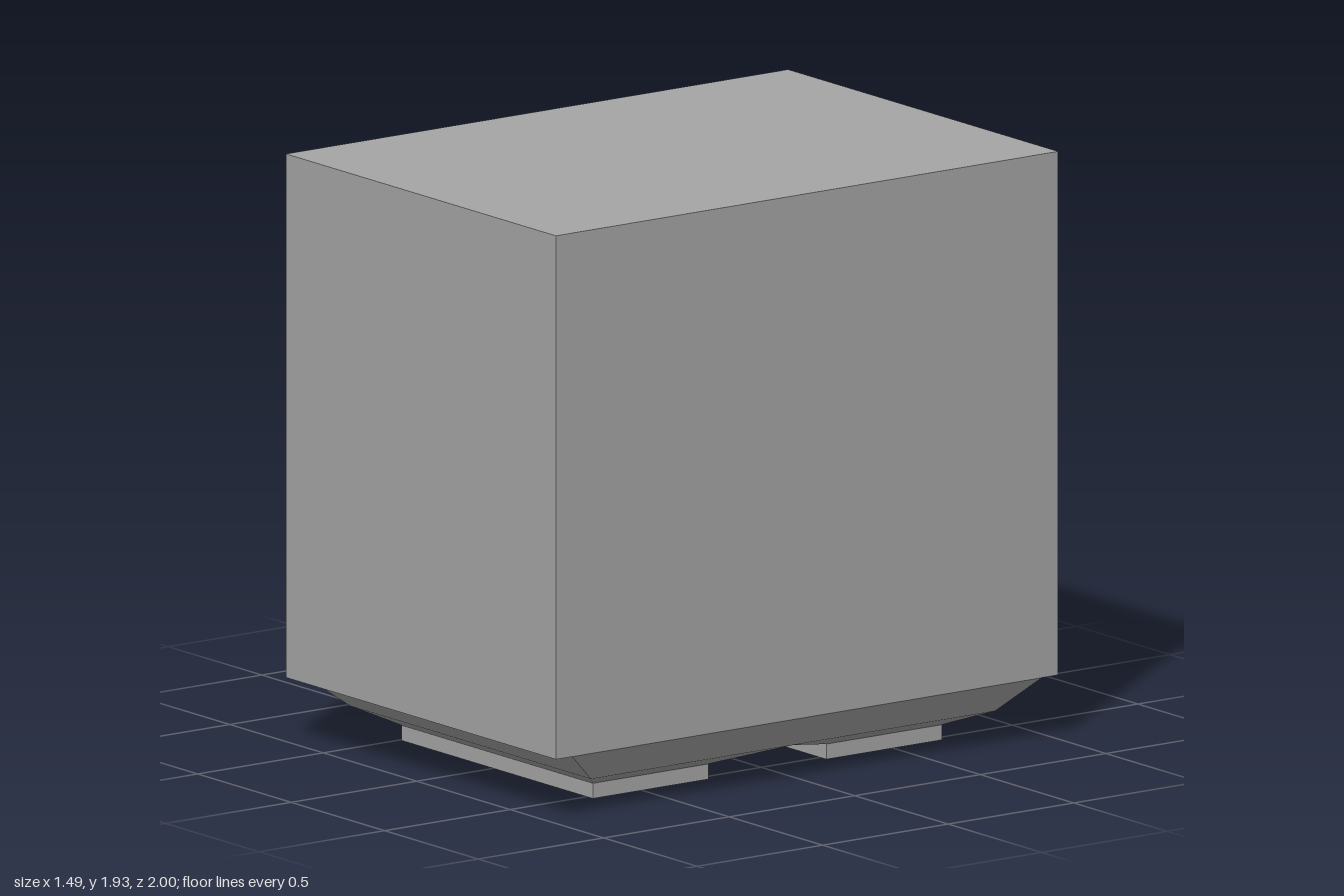
import * as THREE from 'three';

const material = (color) => new THREE.MeshStandardMaterial({ color, flatShading: true });
const casing = material(0xa5a5a5);
const glass = material(0xcccccc);
const darkGrey = material(0x505050);
const black = material(0x2e2e2e);

// Rectangular rings [level, u0, u1, v0, v1] joined in order, capped at the start
// and, unless left open, at the end.
// toPoint maps (level, u, v) to x, y, z; u cross v points along the first step.
function loft(rings, toPoint, capEnd = true) {
  const loops = rings.map(([l, u0, u1, v0, v1]) =>
    [[u0, v0], [u1, v0], [u1, v1], [u0, v1]].map(([u, v]) => toPoint(l, u, v)));
  const pos = [];
  const quad = (a, b, c, d) => pos.push(...a, ...b, ...c, ...a, ...c, ...d);
  const first = loops[0];
  quad(first[3], first[2], first[1], first[0]);
  for (let k = 0; k < loops.length - 1; k++) {
    for (let i = 0; i < 4; i++) {
      const j = (i + 1) % 4;
      quad(loops[k][i], loops[k][j], loops[k + 1][j], loops[k + 1][i]);
    }
  }
  if (capEnd) quad(...loops[loops.length - 1]);
  const geo = new THREE.BufferGeometry();
  geo.setAttribute('position', new THREE.Float32BufferAttribute(pos, 3));
  geo.computeVertexNormals();
  return geo;
}
const alongX = (x, z, y) => [x, y, z];
const alongY = (y, x, z) => [x, y, z];

export function createModel() {
  const group = new THREE.Group();
  const add = (name, geo, mat = casing) => {
    const mesh = new THREE.Mesh(geo, mat);
    mesh.name = name;
    group.add(mesh);
    return mesh;
  };

  // Cabinet with bezel and sloping recess on the -x side, open where the screen sits
  add('cabinet', loft([
    [0.745, -1, 1, 0.21, 1.927],
    [-0.7, -1, 1, 0.21, 1.927],
    [-0.7, -0.94, 0.94, 0.39, 1.83],
    [-0.54, -0.77, 0.77, 0.62, 1.61],
  ], alongX, false));

  // Flat screen closing the recess
  const screen = add('screen', new THREE.PlaneGeometry(1.54, 0.99), glass);
  screen.position.set(-0.54, 1.115, 0);
  screen.rotation.y = -Math.PI / 2;

  // Tapered skirt under the cabinet
  add('baseSkirt', loft([
    [0.21, -0.7, 0.745, -0.935, 0.935],
    [0.105, -0.62, 0.67, -0.805, 0.805],
  ], alongY));

  // Two tapered plinths meeting in a shallow valley, each ending in a flat foot
  for (const [side, s] of [['front', 1], ['back', -1]]) {
    const span = (a, b) => (s > 0 ? [a, b] : [-b, -a]);
    add(side + 'PlinthAndFoot', loft([
      [0.105, -0.62, 0.67, ...span(0, 0.805)],
      [0.05, -0.49, 0.533, ...span(0.235, 0.695)],
      [0, -0.49, 0.533, ...span(0.235, 0.695)],
    ], alongY));
  }

  // Control buttons below the screen
  const button = (name, depth, height, width, z, mat) =>
    add(name, new THREE.BoxGeometry(depth, height, width), mat)
      .position.set(-0.7 - depth / 2, 0.3, z);
  button('powerButton', 0.047, 0.08, 0.135, 0.68, black);
  button('smallButton', 0.03, 0.06, 0.105, 0.294, darkGrey);

  return group;
}
